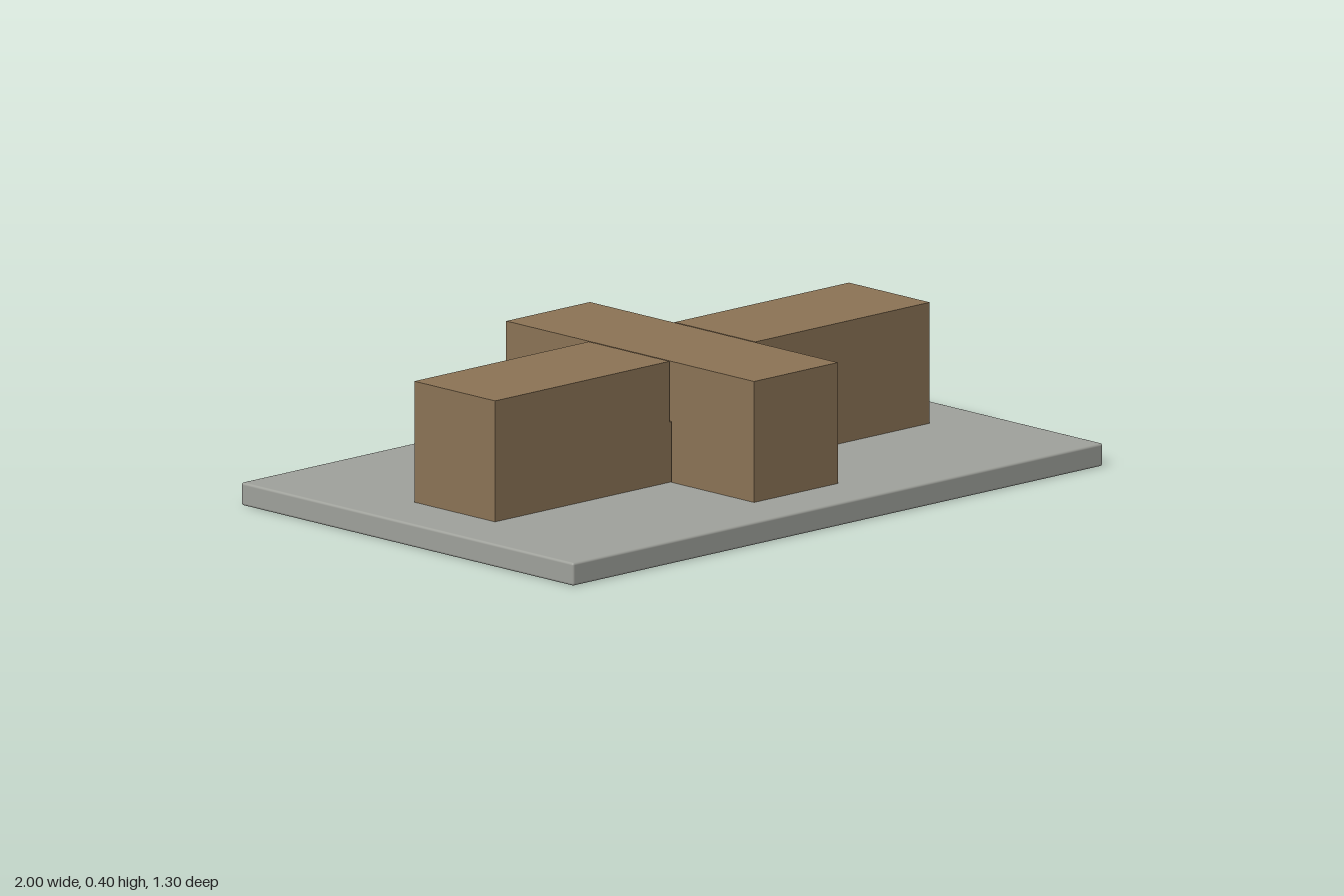
import * as THREE from 'three';
import { RoundedBoxGeometry } from 'three/addons/geometries/RoundedBoxGeometry.js';

const BASE = 0.064, TOP = 0.402, HALF = 0.158, NOTCH = 0.162;

// Beam along x with a half-depth notch cut in its top or bottom
function notchedBeam(halfLength, notchY, fromTop) {
  const open = fromTop ? TOP : BASE, closed = fromTop ? BASE : TOP;
  const shape = new THREE.Shape([
    [-halfLength, closed], [halfLength, closed], [halfLength, open],
    [NOTCH, open], [NOTCH, notchY], [-NOTCH, notchY], [-NOTCH, open], [-halfLength, open],
  ].map(([x, y]) => new THREE.Vector2(x, y)));
  const geometry = new THREE.ExtrudeGeometry(shape, { depth: HALF * 2, bevelEnabled: false });
  return geometry.translate(0, 0, -HALF);
}

export function createModel() {
  const group = new THREE.Group();
  group.name = 'crossLapJoint';
  const wood = new THREE.MeshStandardMaterial({ color: 0x8b7355 });
  wood.name = 'wood';
  const grey = new THREE.MeshStandardMaterial({ color: 0x9fa19b });
  grey.name = 'baseGrey';

  const add = (name, geometry, material) => {
    const mesh = new THREE.Mesh(geometry, material);
    mesh.name = name;
    group.add(mesh);
  };

  // Base plate with softened edges
  add('basePlate', new RoundedBoxGeometry(2, BASE, 1.3, 2, 0.007).translate(0, BASE / 2, 0), grey);
  // Long beam, notched from above
  add('longBeam', notchedBeam(0.82, 0.232, true), wood);
  // Cross beam, notched from below and dropped over the long one
  add('crossBeam', notchedBeam(0.485, 0.234, false).rotateY(Math.PI / 2), wood);

  return group;
}
